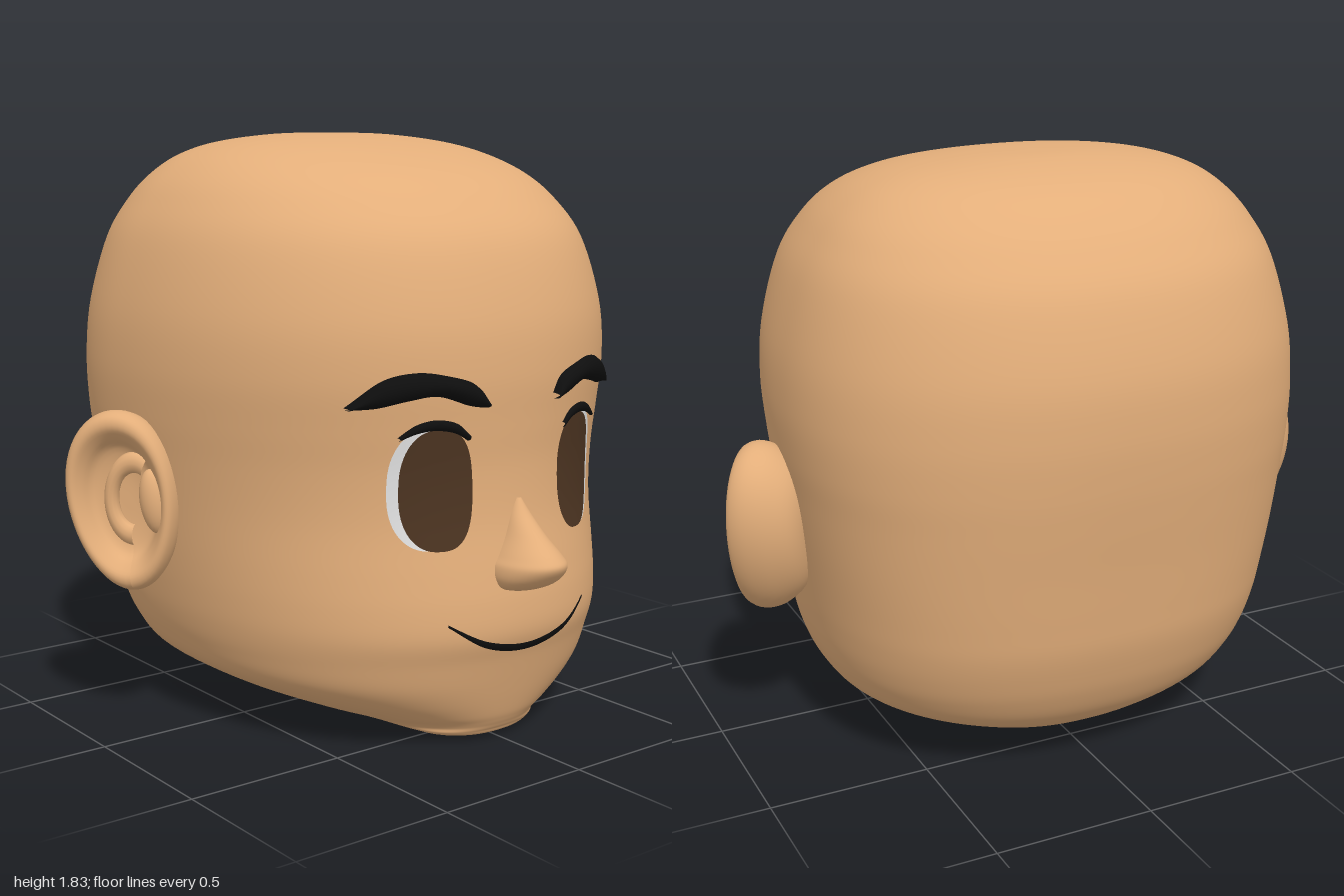
import * as THREE from 'three';

const mat = (name, color, side = THREE.FrontSide) => {
  const m = new THREE.MeshStandardMaterial({ color, side });
  m.name = name;
  return m;
};

// Horizontal sections, top to bottom: [y, half width, front z, back z, z of widest point]
const HEAD = [
  [1.83, 0, -0.2, -0.2, -0.2],
  [1.825, 0.2, -0.06, -0.33, -0.2],
  [1.8, 0.4, 0.1, -0.46, -0.2],
  [1.76, 0.525, 0.26, -0.57, -0.2],
  [1.7, 0.615, 0.42, -0.66, -0.2],
  [1.62, 0.685, 0.54, -0.74, -0.2],
  [1.5, 0.75, 0.645, -0.82, -0.2],
  [1.3, 0.803, 0.715, -0.88, -0.2],
  [1.13, 0.818, 0.735, -0.892, -0.2],
  [0.98, 0.81, 0.73, -0.883, -0.2],
  [0.85, 0.793, 0.725, -0.867, -0.19],
  [0.7, 0.773, 0.735, -0.845, -0.18],
  [0.55, 0.752, 0.762, -0.825, -0.16],
  [0.45, 0.737, 0.777, -0.81, -0.15],
  [0.36, 0.72, 0.778, -0.785, -0.14],
  [0.28, 0.695, 0.753, -0.755, -0.12],
  [0.2, 0.65, 0.73, -0.71, -0.08],
  [0.14, 0.56, 0.712, -0.65, -0.02],
  [0.09, 0.44, 0.695, -0.57, 0.06],
  [0.065, 0.36, 0.683, -0.45, 0.14],
  [0.05, 0.3, 0.674, 0, 0.28],
  [0.033, 0.23, 0.662, 0.33, 0.48],
  [0.014, 0.16, 0.638, 0.39, 0.51],
  [0, 0, 0.52, 0.52, 0.52],
];
const NOSE = [
  [0.76, 0.01, 0.735, 0.68, 0.72],
  [0.71, 0.035, 0.77, 0.66, 0.73],
  [0.65, 0.062, 0.83, 0.66, 0.74],
  [0.6, 0.092, 0.885, 0.66, 0.75],
  [0.57, 0.11, 0.9, 0.66, 0.75],
  [0.53, 0.11, 0.868, 0.66, 0.75],
  [0.5, 0.085, 0.815, 0.66, 0.75],
  [0.485, 0, 0.75, 0.72, 0.75],
];

// Superellipse powers: rounder at eye height in front, boxier low at the back
const frontPower = y => 2.2 - 0.18 * Math.exp(-(((y - 0.72) / 0.4) ** 2));
const backPower = y => 2.2 + 0.3 * Math.exp(-(((y - 0.5) / 0.5) ** 2));

// Smooth section at t, where t counts keys
function section(keys, t) {
  const last = keys.length - 1;
  const i = Math.min(Math.floor(t), last - 1), f = t - i;
  const [a, b, c, d] = [i - 1, i, i + 1, i + 2].map(k => keys[Math.min(Math.max(k, 0), last)]);
  return b.map((v, k) => 0.5 * (2 * v + (c[k] - a[k]) * f + (2 * a[k] - 5 * v + 4 * c[k] - d[k]) * f * f
    + (3 * v - a[k] - 3 * c[k] + d[k]) * f ** 3));
}

function gridGeometry(pos, index) {
  const g = new THREE.BufferGeometry();
  g.setAttribute('position', new THREE.Float32BufferAttribute(pos, 3));
  g.setIndex(index);
  g.computeVertexNormals();
  return g;
}

// Closed skin over superelliptic sections
function loft(keys, steps, seg) {
  const pos = [], index = [], rows = (keys.length - 1) * steps;
  for (let i = 0; i <= rows; i++) {
    const [y, w, zf, zb, zc] = section(keys, i / steps);
    for (let j = 0; j < seg; j++) {
      const a = (j / seg) * Math.PI * 2, c = Math.cos(a), s = Math.sin(a);
      const n = s > 0 ? frontPower(y) : backPower(y);
      pos.push(w * Math.sign(c) * Math.abs(c) ** (2 / n), y,
        zc + (s > 0 ? zf - zc : zb - zc) * Math.abs(s) ** (2 / n));
      if (i < rows) {
        const k = (j + 1) % seg, p = i * seg, q = p + seg;
        index.push(p + j, p + k, q + j, p + k, q + k, q + j);
      }
    }
  }
  return gridGeometry(pos, index);
}

// Depth of the face at (x, y)
function faceZ(x, y) {
  let lo = 0, hi = HEAD.length - 1;
  for (let k = 0; k < 30; k++) {
    const mid = (lo + hi) / 2;
    if (section(HEAD, mid)[0] > y) lo = mid; else hi = mid;
  }
  const [, w, zf, , zc] = section(HEAD, lo), n = frontPower(y);
  return zc + (zf - zc) * Math.max(0, 1 - Math.abs(x / w) ** n) ** (1 / n);
}

// Thin sheet draped on the face between an upper and a lower edge; bulge raises its middle
function drape(upper, lower, side, offset, bulge = 0, cols = 32, rows = 8) {
  const pos = [], index = [];
  for (let i = 0; i <= cols; i++) {
    const [ux, uy] = upper(i / cols), [lx, ly] = lower(i / cols);
    for (let j = 0; j <= rows; j++) {
      const t = j / rows, x = ux + (lx - ux) * t, y = uy + (ly - uy) * t;
      pos.push(x * side, y, faceZ(x, y) + offset + bulge * Math.sqrt(Math.max(0, Math.sin(Math.PI * t))));
      if (i < cols && j < rows) {
        const p = i * (rows + 1) + j, q = p + rows + 1;
        index.push(...(side > 0 ? [p, p + 1, q, p + 1, q + 1, q] : [p, q, p + 1, p + 1, q, q + 1]));
      }
    }
  }
  return gridGeometry(pos, index);
}

const edge = points => {
  const curve = new THREE.SplineCurve(points.map(p => new THREE.Vector2(...p)));
  return t => curve.getPoint(t).toArray();
};
const oval = (cx, cy, rx, ry, sign) => t => {
  const a = Math.PI * (1 - t), c = Math.cos(a);
  return [cx + rx * Math.sign(c) * Math.abs(c) ** 0.8, cy + sign * ry * Math.max(0, Math.sin(a)) ** 0.8];
};

export function createModel() {
  const skin = mat('skin', 0xe3ae7a);
  const black = mat('black hair', 0x0e0e0e, THREE.DoubleSide);
  const white = mat('eye white', 0xe4e4e4, THREE.DoubleSide);
  const brown = mat('iris brown', 0x4c3421, THREE.DoubleSide);
  const model = new THREE.Group();
  const add = (parent, name, geometry, material) => {
    const m = new THREE.Mesh(geometry, material);
    m.name = name;
    parent.add(m);
    return m;
  };

  add(model, 'head', loft(HEAD, 6, 128), skin);
  add(model, 'nose', loft(NOSE, 6, 48), skin);

  // Flat oval under the head where the neck joins
  const neck = add(model, 'neckBase', new THREE.CylinderGeometry(1, 0.97, 1, 64), skin);
  neck.scale.set(0.34, 0.02, 0.41);
  neck.position.set(0, 0.063, -0.05);
  neck.rotation.x = 0.05;

  // Smile
  add(model, 'mouth', drape(
    edge([[-0.27, 0.417], [-0.15, 0.354], [0, 0.328], [0.15, 0.354], [0.27, 0.417]]),
    edge([[-0.27, 0.41], [-0.15, 0.333], [0, 0.305], [0.15, 0.333], [0.27, 0.41]]),
    1, 0.005, 0.002, 40, 4), black);

  for (const side of [1, -1]) {
    const label = side > 0 ? 'left' : 'right';

    // Eye, lash and brow
    add(model, label + 'EyeWhite', drape(oval(0.29, 0.81, 0.112, 0.18, 1), oval(0.29, 0.81, 0.112, 0.18, -1), side, 0.003), white);
    add(model, label + 'Iris', drape(oval(0.272, 0.806, 0.103, 0.178, 1), oval(0.272, 0.806, 0.103, 0.178, -1), side, 0.007), brown);
    add(model, label + 'Lash', drape(
      edge([[0.185, 0.965], [0.225, 1.0], [0.285, 1.013], [0.34, 1.0], [0.385, 0.965]]),
      edge([[0.19, 0.948], [0.23, 0.972], [0.285, 0.982], [0.335, 0.975], [0.383, 0.955]]),
      side, 0.009, 0.012), black);
    add(model, label + 'Brow', drape(
      edge([[0.135, 1.06], [0.17, 1.11], [0.25, 1.137], [0.34, 1.15], [0.43, 1.128], [0.512, 1.052]]),
      edge([[0.14, 1.04], [0.19, 1.05], [0.28, 1.08], [0.36, 1.07], [0.44, 1.05], [0.51, 1.045]]),
      side, 0.002, 0.032), black);

    // Ear: a thick cupped oval with a rolled rim, an inner fold and a small flap
    const mirror = new THREE.Group();
    mirror.name = label + 'Ear';
    mirror.scale.x = side;
    model.add(mirror);
    const ear = new THREE.Group();
    ear.position.set(0.855, 0.722, -0.1);
    ear.rotation.set(0, 0.89, -0.14, 'YXZ');
    mirror.add(ear);
    const profile = new THREE.SplineCurve([[0, -0.15], [0.4, -0.148], [0.7, -0.12], [0.92, -0.06], [1, 0], [0.95, 0.045],
      [0.83, 0.055], [0.7, 0.03], [0.57, -0.005], [0.3, -0.02], [0, -0.022]].map(p => new THREE.Vector2(...p)));
    const shell = new THREE.LatheGeometry(profile.getPoints(40), 56);
    shell.rotateX(Math.PI / 2);
    shell.scale(0.175, 0.278, 1);
    const p = shell.attributes.position;
    for (let i = 0; i < p.count; i++) p.setX(i, p.getX(i) * (1 + 0.4 * p.getY(i)));
    shell.computeVertexNormals();
    add(ear, 'earShell', shell, skin);
    const fold = add(ear, 'earFold', new THREE.TorusGeometry(0.075, 0.022, 12, 32, Math.PI * 1.15), skin);
    fold.rotation.z = -Math.PI * 0.45;
    fold.scale.set(1.5, 1, 1.2);
    fold.position.set(-0.03, 0.0, -0.006);
    const flap = add(ear, 'earFlap', new THREE.SphereGeometry(1, 24, 16), skin);
    flap.scale.set(0.045, 0.1, 0.04);
    flap.position.set(-0.1, -0.01, 0.015);
  }
  return model;
}
